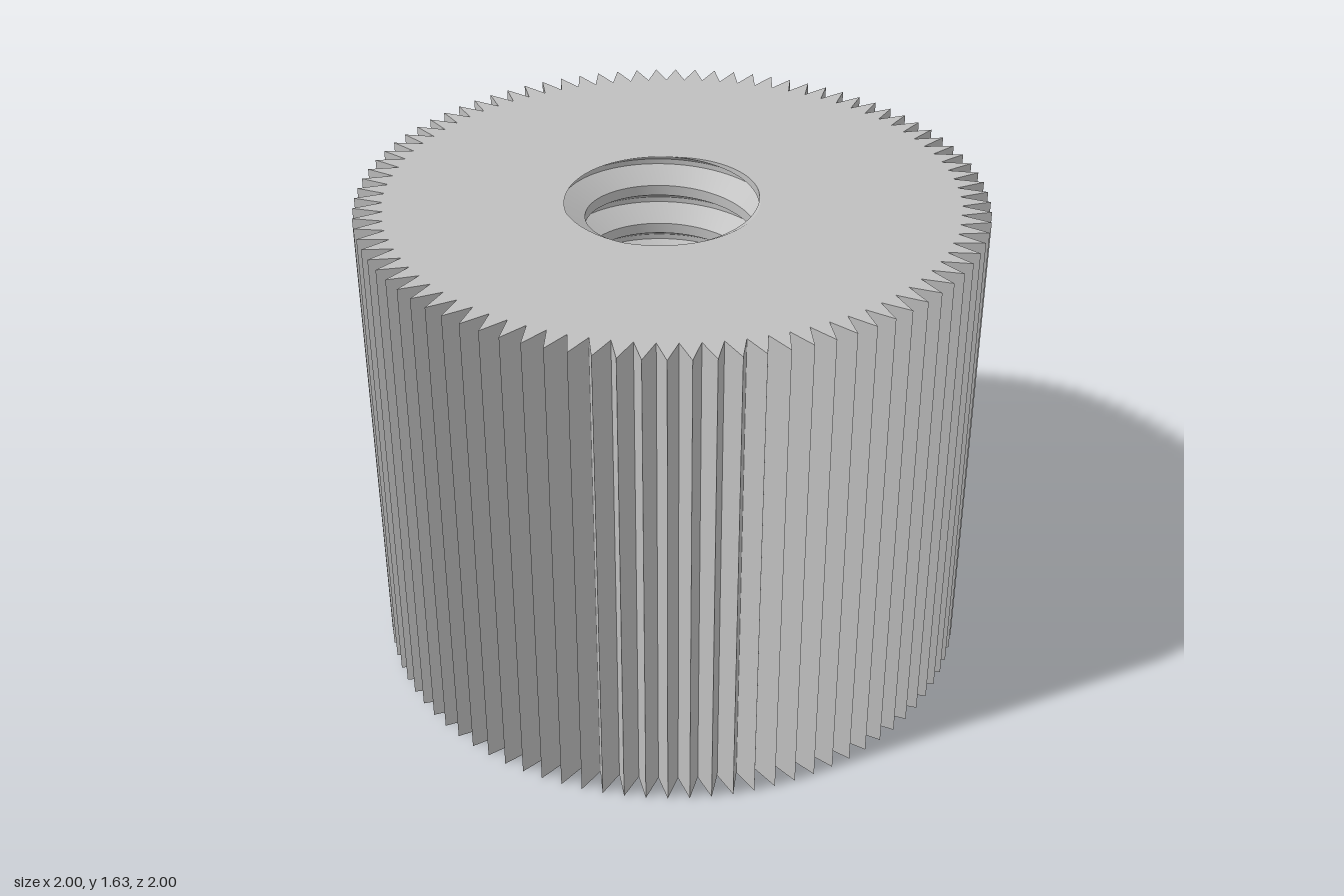
import * as THREE from 'three';
import { toCreasedNormals } from 'three/addons/utils/BufferGeometryUtils.js';

const H = 1.63;                       // height
const TEETH = 90, TIP = 1, VALLEY = 0.907;
const PITCH = 0.14, MINOR = 0.276, MAJOR = 0.35; // bore thread
const COLS = 96;
const TAU = Math.PI * 2;

// Radius of the threaded bore at height y and angle a (counterclockwise seen from above)
function boreRadius(y, a) {
  const u = (y - H) / PITCH - a / TAU + 0.75;
  const d = Math.abs(u - Math.round(u));
  const t = THREE.MathUtils.clamp((d - 1 / 16) / (3 / 8 - 1 / 16), 0, 1);
  return THREE.MathUtils.lerp(MAJOR, MINOR, t);
}

// Outer wall: a cylinder with every other column pulled in to make sharp teeth
function toothedWall() {
  const g = new THREE.CylinderGeometry(1, 1, H, TEETH * 2, 1, true).toNonIndexed();
  const p = g.attributes.position;
  for (let i = 0; i < p.count; i++) {
    const step = Math.round(Math.atan2(p.getX(i), p.getZ(i)) / (Math.PI / TEETH));
    const r = step % 2 ? TIP : VALLEY;
    p.setXYZ(i, p.getX(i) * r, p.getY(i) + H / 2, p.getZ(i) * r);
  }
  g.computeVertexNormals();
  return g;
}

// End face: toothed outline with the bore's cut curve as a hole
function endFace(y, up) {
  const flip = up ? -1 : 1;
  const outline = [], hole = [];
  for (let i = 0; i < TEETH * 2; i++) {
    const a = i * Math.PI / TEETH, r = i % 2 ? TIP : VALLEY;
    outline.push(new THREE.Vector2(r * Math.sin(a), flip * r * Math.cos(a)));
  }
  for (let i = 0; i < COLS; i++) {
    const a = i * TAU / COLS, r = boreRadius(y, a);
    hole.push(new THREE.Vector2(r * Math.cos(a), -flip * r * Math.sin(a)));
  }
  const shape = new THREE.Shape(outline);
  shape.holes.push(new THREE.Path(hole));
  return new THREE.ShapeGeometry(shape).rotateX(flip * Math.PI / 2).translate(0, y, 0);
}

// Bore: helical strips between the thread's profile corners, cut off at both ends
function threadedBore() {
  const corners = [];
  for (let k = -Math.ceil(H / PITCH) - 2; k <= 2; k++) {
    for (const c of [-3 / 8, -1 / 16, 1 / 16, 3 / 8]) corners.push(k + c);
  }
  const point = (col, u) => {
    const a = col * TAU / COLS;
    const y = THREE.MathUtils.clamp(H + (u + a / TAU - 0.75) * PITCH, 0, H);
    const r = boreRadius(y, a);
    return new THREE.Vector3(r * Math.cos(a), y, -r * Math.sin(a));
  };
  const pos = [];
  const triangle = (a, b, c) => {
    if (new THREE.Triangle(a, b, c).getArea() < 1e-9) return;
    for (const v of [a, b, c]) pos.push(v.x, v.y, v.z);
  };
  for (let col = 0; col < COLS; col++) {
    for (let j = 0; j < corners.length - 1; j++) {
      const a = point(col, corners[j]), b = point(col + 1, corners[j]);
      const c = point(col + 1, corners[j + 1]), d = point(col, corners[j + 1]);
      triangle(a, c, b);
      triangle(a, d, c);
    }
  }
  const g = new THREE.BufferGeometry();
  g.setAttribute('position', new THREE.Float32BufferAttribute(pos, 3));
  return toCreasedNormals(g, 0.4);
}

export function createModel() {
  const group = new THREE.Group();
  group.name = 'knurledThumbNut';
  const metal = new THREE.MeshStandardMaterial({ color: 0xbfbfbf });
  metal.name = 'light grey';
  const add = (name, geometry) => {
    const mesh = new THREE.Mesh(geometry, metal);
    mesh.name = name;
    group.add(mesh);
  };
  add('knurledWall', toothedWall());
  add('topFace', endFace(H, true));
  add('bottomFace', endFace(0, false));
  add('threadedBore', threadedBore());
  return group;
}
